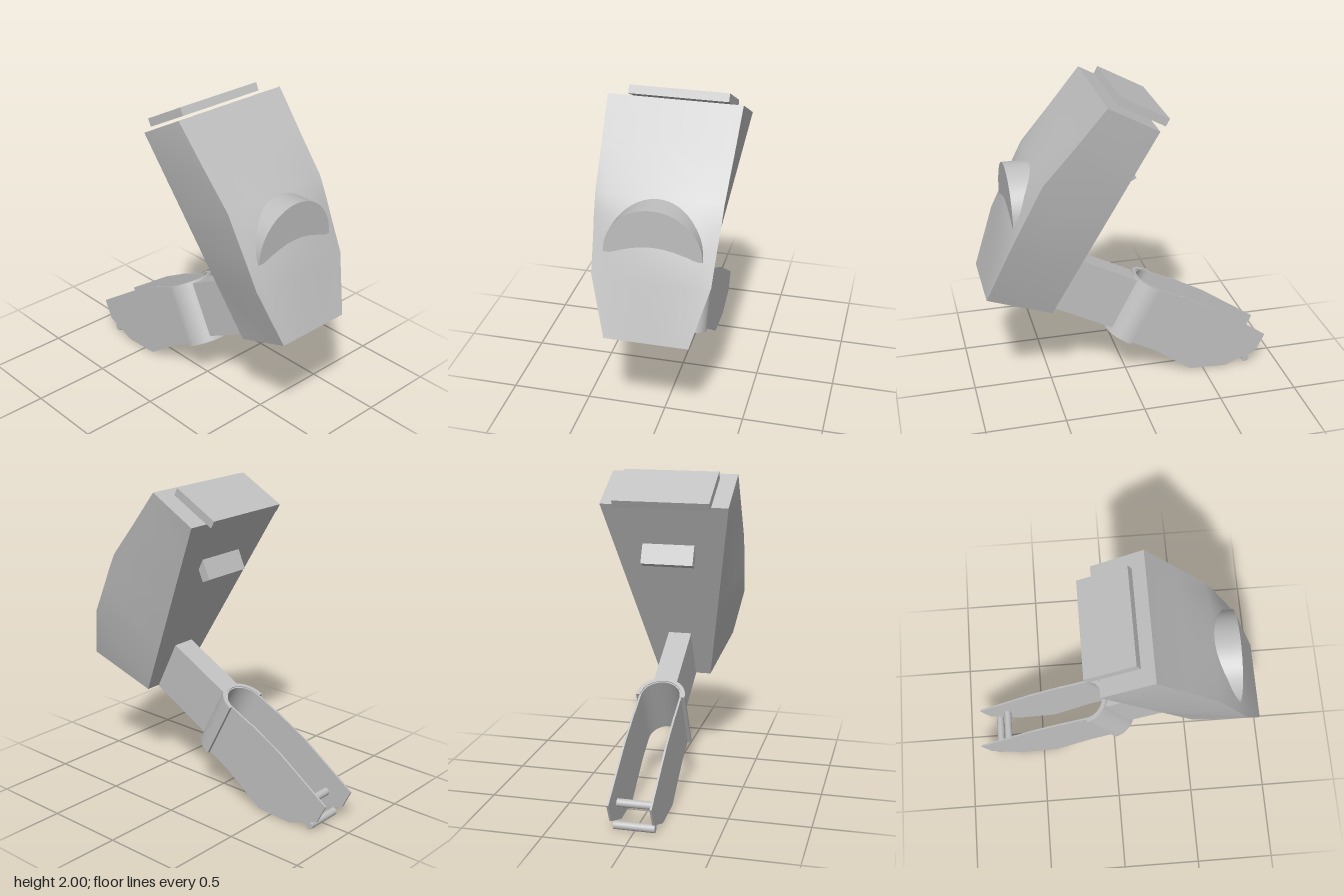
import * as THREE from 'three';
import { toCreasedNormals } from 'three/addons/utils/BufferGeometryUtils.js';

const grey = new THREE.MeshStandardMaterial({ color: 0xc0c0c0 });
grey.name = 'light grey';

function add(parent, name, geometry, x = 0, y = 0, z = 0, tilt = 0) {
  const mesh = new THREE.Mesh(geometry, grey);
  mesh.name = name;
  mesh.position.set(x, y, z);
  mesh.rotation.x = tilt;
  parent.add(mesh);
  return mesh;
}

// Tapered housing: rows of [y, z, half width, bulge] run down the front edge,
// each joined to a straight, narrowing back.
function housingGeometry() {
  const rows = [
    [1.975, 0.2, 0.4, 0], [1.75, 0.388, 0.388, 0], [1.53, 0.578, 0.375, 0.015],
    [1.42, 0.635, 0.37, 0.045], [1.3, 0.695, 0.361, 0.05],
    [1.11, 0.79, 0.35, 0.02], [0.77, 0.92, 0.25, 0],
  ];
  const across = 12, n = across + 3, points = [], index = [];
  for (const [y, z, w, bulge] of rows) {
    for (let i = 0; i <= across; i++) {
      const s = (2 * i) / across - 1;
      points.push(s * w, y, z + bulge * (1 - s * s));
    }
    const t = (1.975 - y) / 1.205;
    const by = 1.81 - 1.225 * t, bz = -0.105 + 0.615 * t, bx = 0.4 - 0.225 * t;
    points.push(bx, by, bz, -bx, by, bz);
  }
  for (let r = 0; r < rows.length - 1; r++) {
    for (let i = 0; i < n; i++) {
      const a = r * n + i, b = r * n + ((i + 1) % n);
      index.push(a, a + n, b + n, a, b + n, b);
    }
  }
  // End caps
  const base = (rows.length - 1) * n;
  for (let i = 0; i < n - 2; i++) {
    index.push(n - 1, i, i + 1);
    index.push(base + n - 1, base + i + 1, base + i);
  }
  const g = new THREE.BufferGeometry();
  g.setAttribute('position', new THREE.Float32BufferAttribute(points, 3));
  g.setIndex(index);
  return toCreasedNormals(g, 0.4);
}

// Half ring with its round side towards +z, standing along y
function halfRing(outer, inner, height) {
  const s = new THREE.Shape();
  s.absarc(0, 0, outer, 0, Math.PI, false);
  s.absarc(0, 0, inner, Math.PI, 0, true);
  s.closePath();
  const g = new THREE.ExtrudeGeometry(s, { depth: height, bevelEnabled: false, curveSegments: 24 });
  g.translate(0, 0, -height / 2).rotateX(Math.PI / 2);
  return toCreasedNormals(g, 0.5);
}

export function createModel() {
  const model = new THREE.Group();
  model.name = 'model';

  add(model, 'housing', housingGeometry());

  // Half-round hood on the front
  const hood = new THREE.Shape();
  hood.absarc(0, 0, 0.29, 0, Math.PI, false);
  hood.closePath();
  const hoodGeo = new THREE.ExtrudeGeometry(hood, { depth: 0.34, bevelEnabled: false, curveSegments: 32 });
  add(model, 'frontHood', toCreasedNormals(hoodGeo, 0.5), 0, 1.24, 0.405);

  // Lid above the top and tab on the back
  add(model, 'topLid', new THREE.BoxGeometry(0.6, 0.051, 0.329), 0, 1.9, -0.033, -0.49);
  add(model, 'backTab', new THREE.BoxGeometry(0.33, 0.2, 0.06), 0, 1.513, 0.04, 0.43);

  // Arm and collar share one tilted frame
  const arm = new THREE.Group();
  arm.name = 'armAssembly';
  arm.position.set(0, 0.528, 0.045);
  arm.rotation.x = -0.48;
  model.add(arm);
  add(arm, 'arm', new THREE.BoxGeometry(0.15, 0.36, 0.5), 0, 0.01, 0.23);
  add(arm, 'collar', halfRing(0.155, 0.13, 0.41), 0, 0, -0.155);
  add(arm, 'clipBridge', halfRing(0.132, 0.122, 0.4), 0, 0, -0.155);

  // Side plates of the clip, outlined in z and y
  const outline = [
    [-0.185, 0.635], [-0.33, 0.565], [-0.345, 0.562], [-0.56, 0.445], [-0.92, 0.2], [-0.86, 0.08],
    [-0.65, 0.003], [-0.41, 0.015], [-0.15, 0.2], [-0.17, 0.2], [0, 0.28],
  ].filter((p, i) => i !== 9);
  const plate = new THREE.Shape(outline.map(([z, y]) => new THREE.Vector2(z, y)));
  const plateGeo = new THREE.ExtrudeGeometry(plate, { depth: 0.012, bevelEnabled: false });
  plateGeo.rotateY(-Math.PI / 2).translate(0.006, 0, 0);
  add(model, 'leftClipPlate', plateGeo, 0.128);
  add(model, 'rightClipPlate', plateGeo, -0.128);

  // Cross rollers at the tail
  const roller = new THREE.CylinderGeometry(0.025, 0.025, 0.25, 20).rotateZ(Math.PI / 2);
  add(model, 'upperRoller', roller, 0, 0.145, -0.735);
  add(model, 'lowerRoller', roller, 0, 0.03, -0.796);

  return model;
}
